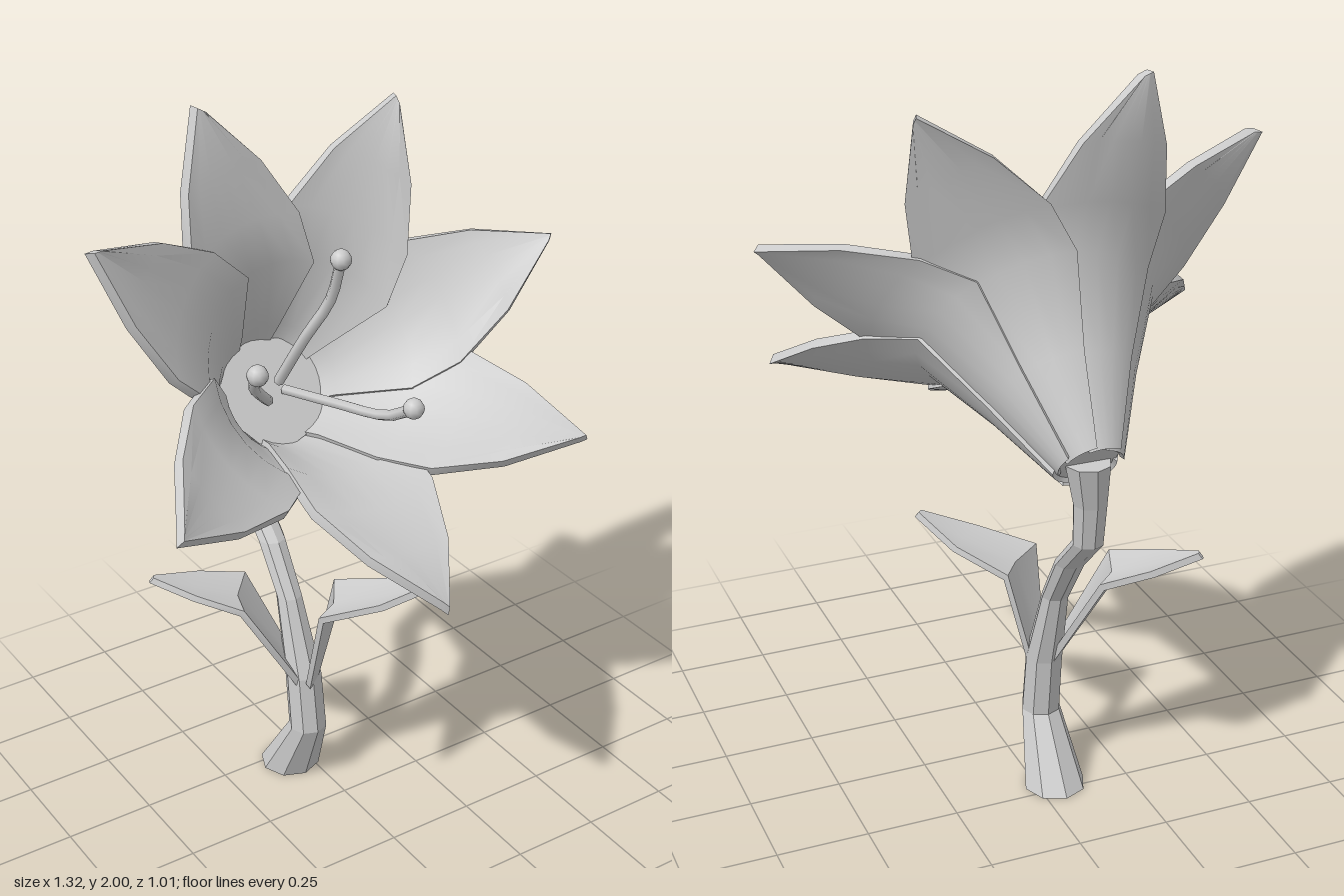
import * as THREE from 'three';
import { toCreasedNormals } from 'three/addons/utils/BufferGeometryUtils.js';

const V = (x, y, z) => new THREE.Vector3(x, y, z);
const smooth = new THREE.MeshStandardMaterial({ color: 0xcccccc });
const faceted = new THREE.MeshStandardMaterial({ color: 0xcccccc, flatShading: true });

function add(parent, name, geometry, material = smooth) {
  const mesh = new THREE.Mesh(geometry, material);
  mesh.name = name;
  parent.add(mesh);
  return mesh;
}

// Closed thick sheet: point(i, v, k), row i, v from -1 to 1 across, k = 0 underside, 1 upper side
function sheet(rows, cols, point) {
  const pos = [];
  const P = (i, j, k) => point(i, (j / cols) * 2 - 1, k);
  const quad = (a, b, c, d) => [a, b, c, a, c, d].forEach(p => pos.push(p.x, p.y, p.z));
  for (let i = 0; i < rows; i++) {
    for (let j = 0; j < cols; j++) {
      quad(P(i, j, 1), P(i + 1, j, 1), P(i + 1, j + 1, 1), P(i, j + 1, 1));
      quad(P(i, j + 1, 0), P(i + 1, j + 1, 0), P(i + 1, j, 0), P(i, j, 0));
    }
    quad(P(i, 0, 0), P(i + 1, 0, 0), P(i + 1, 0, 1), P(i, 0, 1));
    quad(P(i, cols, 1), P(i + 1, cols, 1), P(i + 1, cols, 0), P(i, cols, 0));
  }
  for (let j = 0; j < cols; j++) {
    quad(P(rows, j, 0), P(rows, j + 1, 0), P(rows, j + 1, 1), P(rows, j, 1));
    quad(P(0, j, 1), P(0, j + 1, 1), P(0, j + 1, 0), P(0, j, 0));
  }
  const g = new THREE.BufferGeometry();
  g.setAttribute('position', new THREE.Float32BufferAttribute(pos, 3));
  return toCreasedNormals(g, 0.65);
}

// Petal profile: radius, height along the flower axis, half-width in degrees
const PETAL = [
  [0.085, 0, 30], [0.19, 0.21, 34], [0.31, 0.42, 37], [0.42, 0.49, 26],
  [0.55, 0.57, 12.5], [0.7, 0.65, 0.6],
];

function petal(degrees) {
  return sheet(PETAL.length - 1, 6, (i, v, k) => {
    const [r, h, half] = PETAL[i];
    const a = THREE.MathUtils.degToRad(degrees + half * v);
    const inner = i === 0 ? 0.5 * k : k;
    const radius = r - 0.018 * inner + 0.009 * v; // one edge tucks under the next petal
    return V(Math.cos(a) * radius, Math.sin(a) * radius, h + 0.022 * inner);
  });
}

// Leaf rows: centre point and half-width, spread square to the direction it grows in
function leaf(rows, angle) {
  const dir = V(Math.cos(angle), 0, Math.sin(angle));
  const side = V(dir.z, 0, -dir.x);
  return sheet(rows.length - 1, 2, (i, v, k) => {
    const [x, y, z, half] = rows[i];
    const fold = (1 - Math.abs(v)) * 0.2 * half;
    return V(x, y - fold * 0.6 + 0.016 * k, z)
      .addScaledVector(side, half * v)
      .addScaledVector(dir, fold - 0.012 * k);
  });
}

export function createModel() {
  const model = new THREE.Group();
  model.name = 'flower';

  // Stem: height, x, z, radius
  const rings = [
    [0, -0.05, -0.215, 0.085], [0.19, -0.05, -0.115, 0.054], [0.36, -0.05, -0.135, 0.052],
    [0.58, -0.05, -0.205, 0.037], [0.72, -0.05, -0.295, 0.04], [0.83, -0.05, -0.405, 0.041],
    [0.95, -0.045, -0.425, 0.045], [1.07, -0.03, -0.44, 0.06],
  ];
  const n = rings.length - 1;
  const stem = new THREE.CylinderGeometry(1, 1, 1, 8, n);
  const p = stem.attributes.position;
  for (let i = 0; i < p.count; i++) {
    const [y, x, z, r] = rings[Math.round((p.getY(i) + 0.5) * n)];
    p.setXYZ(i, x + p.getX(i) * r, y, z + p.getZ(i) * r);
  }
  add(model, 'stem', stem, faceted);

  // Leaves
  add(model, 'leftLeaf', leaf([
    [-0.035, 0.34, -0.105, 0.045], [-0.005, 0.61, -0.06, 0.1],
    [0.11, 0.65, 0.05, 0.07], [0.21, 0.7, 0.145, 0.008],
  ], Math.PI / 4));
  add(model, 'rightLeaf', leaf([
    [-0.07, 0.34, -0.14, 0.04], [-0.2, 0.62, -0.215, 0.1],
    [-0.31, 0.65, -0.28, 0.065], [-0.415, 0.68, -0.335, 0.008],
  ], Math.PI + 0.55));

  // Bloom: local z is the flower axis, tilted forward and up
  const bloom = new THREE.Group();
  bloom.name = 'bloom';
  bloom.position.set(-0.03, 1.06, -0.445);
  bloom.rotation.x = -0.652;
  model.add(bloom);
  [-35.7, 10.7, 57.4, 105.5, 146.3, 208, 270].forEach((deg, i) =>
    add(bloom, `petal${i + 1}`, petal(deg)));

  // Throat disc and closed base
  const throat = new THREE.CylinderGeometry(0.155, 0.08, 0.17, 10);
  throat.rotateX(Math.PI / 2).translate(0, 0, 0.095);
  add(bloom, 'throat', throat, faceted);

  // Stamens with ball tips
  const stamens = [
    [[-0.08, 1.18, -0.29], [-0.15, 1.25, -0.13], [-0.25, 1.36, -0.03], [-0.28, 1.43, 0.04]],
    [[-0.02, 1.2, -0.29], [0.01, 1.36, -0.2], [0.05, 1.48, -0.14], [0.05, 1.61, -0.09]],
    [[0, 1.17, -0.29], [0.04, 1.2, -0.1], [0.09, 1.22, 0.06], [0.105, 1.28, 0.16]],
  ];
  stamens.forEach((pts, i) => {
    const curve = new THREE.CatmullRomCurve3(pts.map(q => V(...q)));
    const group = new THREE.Group();
    group.name = `stamen${i + 1}`;
    add(group, 'filament', new THREE.TubeGeometry(curve, 10, 0.015, 6));
    add(group, 'anther', new THREE.SphereGeometry(0.028, 10, 8)).position.copy(curve.getPoint(1));
    model.add(group);
  });

  return model;
}
